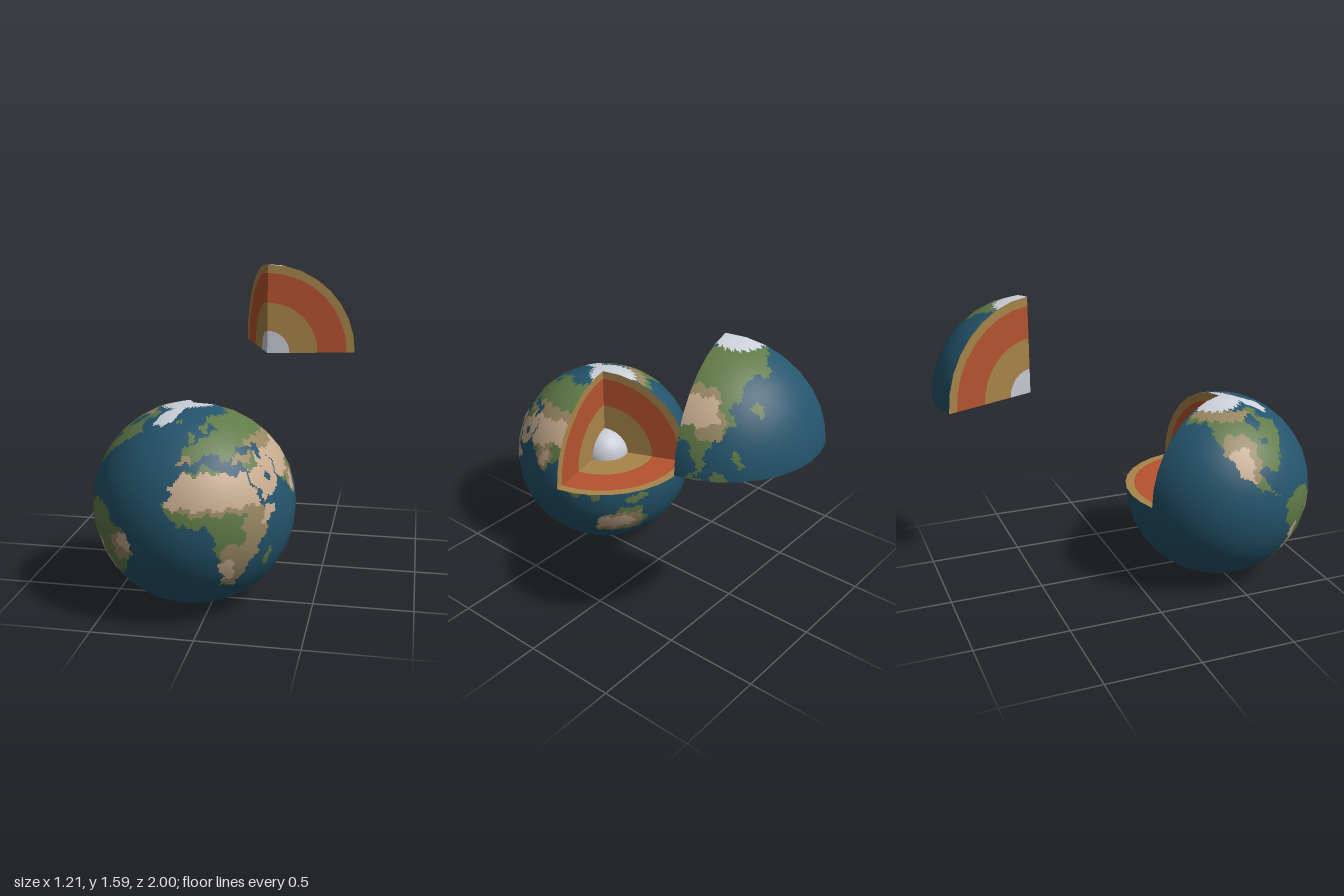
import * as THREE from 'three';

const R = 0.505, STEP = 11.25, SUB = 10, RAD = Math.PI / 180;
const FRONT_LON = -11.25; // longitude that faces +z
const CUT_A = 101.25, CUT_B = 202.5; // wedge limits, degrees from +z towards +x

const mat = (name, color, side = THREE.FrontSide) => {
  const m = new THREE.MeshStandardMaterial({ color, side });
  m.name = name;
  return m;
};

// Rough continent outlines: longitude, latitude pairs
const CONTINENTS = {
  africa: [-17, 15, -9, 32, 10, 37, 20, 31, 33, 31, 43, 11, 51, 12, 40, -6, 27, -34, 19, -34, 9, 4, -8, 5],
  europe: [-9, 37, -9, 44, 8, 54, 28, 60, 20, 64, 11, 56, 6, 61, 26, 71, 60, 69, 60, 41, 36, 46, 22, 37, 13, 45, -1, 38],
  middleEast: [35, 31, 44, 13, 59, 22, 60, 42, 28, 41, 28, 37, 35, 36],
  asia: [60, 69, 104, 77, 190, 67, 163, 60, 158, 52, 138, 55, 119, 37, 122, 30, 108, 20, 103, 2, 98, 16, 90, 22, 78, 8, 60, 25],
  northAmerica: [-168, 66, -156, 71, -82, 69, -56, 53, -81, 31, -81, 25, -97, 29, -95, 18, -83, 9, -106, 21, -124, 42, -140, 60, -164, 56],
  southAmerica: [-78, 8, -62, 11, -35, -6, -40, -21, -66, -46, -69, -55, -71, -18, -81, -5],
  australia: [114, -23, 130, -12, 142, -11, 153, -27, 147, -38, 115, -35],
};
// Rounded patches: longitude, latitude, half width, half height
const ISLANDS = [[47, -19, 2.5, 6], [-2, 54, 3, 4], [-19, 65, 5, 1.5], [138, 37, 4, 4], [114, 1, 4, 5], [101, 0, 4, 3],
  [141, -5, 8, 3], [172, -42, 3, 4], [123, 12, 2, 5], [-72, 67, 9, 4]];
const WATER = [[51, 42, 2.5, 5], [51, 27, 3, 2], [-85, 59, 8, 6], [-86, 45, 5, 2]];
const DESERT = [[20, 23, 40, 9.5], [62, 32, 16, 9], [92, 36, 20, 8], [46, 7, 5, 6], [18, -23, 6, 7], [77, 18, 3, 5],
  [128, -25, 13, 6], [-110, 31, 8, 11], [-69, -28, 3.5, 15], [-68, -45, 4, 6], [-40, -8, 5, 5]];
const SAVANNA = [[20, 12.5, 26, 2], [36, 3, 8, 11], [28, -20, 14, 14], [130, -25, 17, 9], [78, 44, 34, 6], [108, 30, 8, 9],
  [35, 39, 9, 2.5], [-5, 39, 5, 3], [76, 20, 7, 9], [-110, 36, 14, 15], [-125, 66, 45, 5], [-45, -12, 6, 8], [-67, -38, 7, 18]];
const GREENLAND = [-42, 72, 16, 12];

function inOutline(p, x, y) {
  let hit = false;
  for (let i = 0, j = p.length - 2; i < p.length; j = i, i += 2) {
    if ((p[i + 1] > y) !== (p[j + 1] > y) && x < (p[j] - p[i]) * (y - p[i + 1]) / (p[j + 1] - p[i + 1]) + p[i]) hit = !hit;
  }
  return hit;
}

const inPatch = ([x, y, w, h], lon, lat, power) =>
  Math.abs((lon - x) / w) ** power + Math.abs((lat - y) / h) ** power < 1;

function surfaceKind(lon0, lat0) {
  // Small waves make the coasts and borders irregular
  const lon = lon0 + 1.3 * Math.sin(lat0 * 0.55) + 0.7 * Math.sin(lat0 * 1.3 + lon0 * 0.4);
  const lat = lat0 + 1.1 * Math.sin(lon0 * 0.5 + 1) + 0.6 * Math.sin(lon0 * 1.2 - lat0 * 0.4);
  const within = (list, power) => list.some(p => inPatch(p, lon, lat, power));
  const polarIce = lat > 75.5 + 7 * Math.cos((lon - 20) * RAD) || lat < -70.5 + 4.5 * Math.cos((lon - 90) * RAD);
  if (polarIce || inPatch(GREENLAND, lon, lat, 2)) return 'Ice';
  const land = Object.values(CONTINENTS).some(p => inOutline(p, lon, lat)) || within(ISLANDS, 2);
  if (!land || within(WATER, 2)) return 'Ocean';
  return within(DESERT, 4) ? 'Desert' : within(SAVANNA, 4) ? 'Savanna' : 'Forest';
}

// Point on a sphere of 32 x 16 flat facets; i and j count fine cells
const corner = (ci, cj) => {
  const a = (CUT_B - 360 + ci * STEP) * RAD, t = (cj * STEP - 90) * RAD;
  return new THREE.Vector3(Math.sin(a) * Math.cos(t), Math.sin(t), Math.cos(a) * Math.cos(t)).multiplyScalar(R);
};
function facetPoint(i, j) {
  const ci = Math.floor(i / SUB), cj = Math.min(Math.floor(j / SUB), 15), u = i / SUB - ci, v = j / SUB - cj;
  return corner(ci, cj).lerp(corner(ci + 1, cj), u).lerp(corner(ci, cj + 1).lerp(corner(ci + 1, cj + 1), u), v);
}

export function createModel() {
  const mats = {
    Ocean: mat('ocean blue', 0x24546c), Forest: mat('forest green', 0x607a48), Savanna: mat('savanna brown', 0x978661),
    Desert: mat('desert tan', 0xc6aa8e), Ice: mat('ice white', 0xcdd2db),
  };
  const gold = mat('gold layer', 0xa88449, THREE.DoubleSide);
  const mantle = mat('mantle orange', 0xb6532f, THREE.DoubleSide);
  const core = mat('core white', 0xc8cad4, THREE.DoubleSide);
  const model = new THREE.Group();
  const parts = { globe: new THREE.Group(), wedge: new THREE.Group() };
  for (const [name, g] of Object.entries(parts)) {
    g.name = name;
    model.add(g);
  }
  parts.globe.position.set(-0.1, R, 0.495);
  parts.wedge.position.set(0.11, 1.08, -0.495);

  // Outer skin, sorted cell by cell into globe or wedge and by colour
  const cols = 32 * SUB, rows = 16 * SUB, cell = STEP / SUB, skins = {}, grid = [];
  for (let j = 0; j <= rows; j++) for (let i = 0; i <= cols; i++) grid.push(facetPoint(i, j));
  for (let j = 0; j < rows; j++) for (let i = 0; i < cols; i++) {
    const a = CUT_B - 360 + (i + 0.5) * cell, lat = (j + 0.5) * cell - 90;
    const part = lat > 0 && a > CUT_A ? 'wedge' : 'globe';
    const kind = surfaceKind(a + FRONT_LON, lat);
    const k = j * (cols + 1) + i, up = k + cols + 1, tris = [];
    if (j > 0) tris.push(k, k + 1, up + 1);
    if (j < rows - 1) tris.push(k, up + 1, up);
    const skin = (skins[part + kind] ??= { part, kind, pos: [], nor: [] });
    for (const t of tris) {
      skin.pos.push(...grid[t].toArray());
      skin.nor.push(...grid[t].clone().normalize().toArray());
    }
  }
  for (const [name, { part, kind, pos, nor }] of Object.entries(skins)) {
    const geo = new THREE.BufferGeometry();
    geo.setAttribute('position', new THREE.Float32BufferAttribute(pos, 3));
    geo.setAttribute('normal', new THREE.Float32BufferAttribute(nor, 3));
    const mesh = new THREE.Mesh(geo, mats[kind]);
    mesh.name = name;
    parts[part].add(mesh);
  }

  // Layered cut faces: two upright quarters and one level sector on each part
  const layers = [['innerCore', 0, 0.128, core], ['outerCore', 0.128, 0.29, gold],
    ['mantle', 0.29, 0.458, mantle], ['crust', 0.458, R, gold]];
  for (const g of Object.values(parts)) for (const [name, r0, r1, m] of layers) {
    const add = (geo, suffix) => {
      const mesh = new THREE.Mesh(geo, m);
      mesh.name = name + suffix;
      g.add(mesh);
    };
    for (const a of [CUT_A, CUT_B]) add(new THREE.RingGeometry(r0, r1, 8, 1, 0, Math.PI / 2).rotateY((a - 90) * RAD), 'Upright');
    add(new THREE.RingGeometry(r0, r1, 9, 1, (CUT_A - 90) * RAD, (CUT_B - CUT_A) * RAD).rotateX(-Math.PI / 2), 'Level');
  }

  // Ball of the inner core showing in the notch
  const ball = new THREE.Mesh(new THREE.SphereGeometry(0.14, 32, 16), core);
  ball.name = 'innerCoreBall';
  parts.globe.add(ball);
  return model;
}
